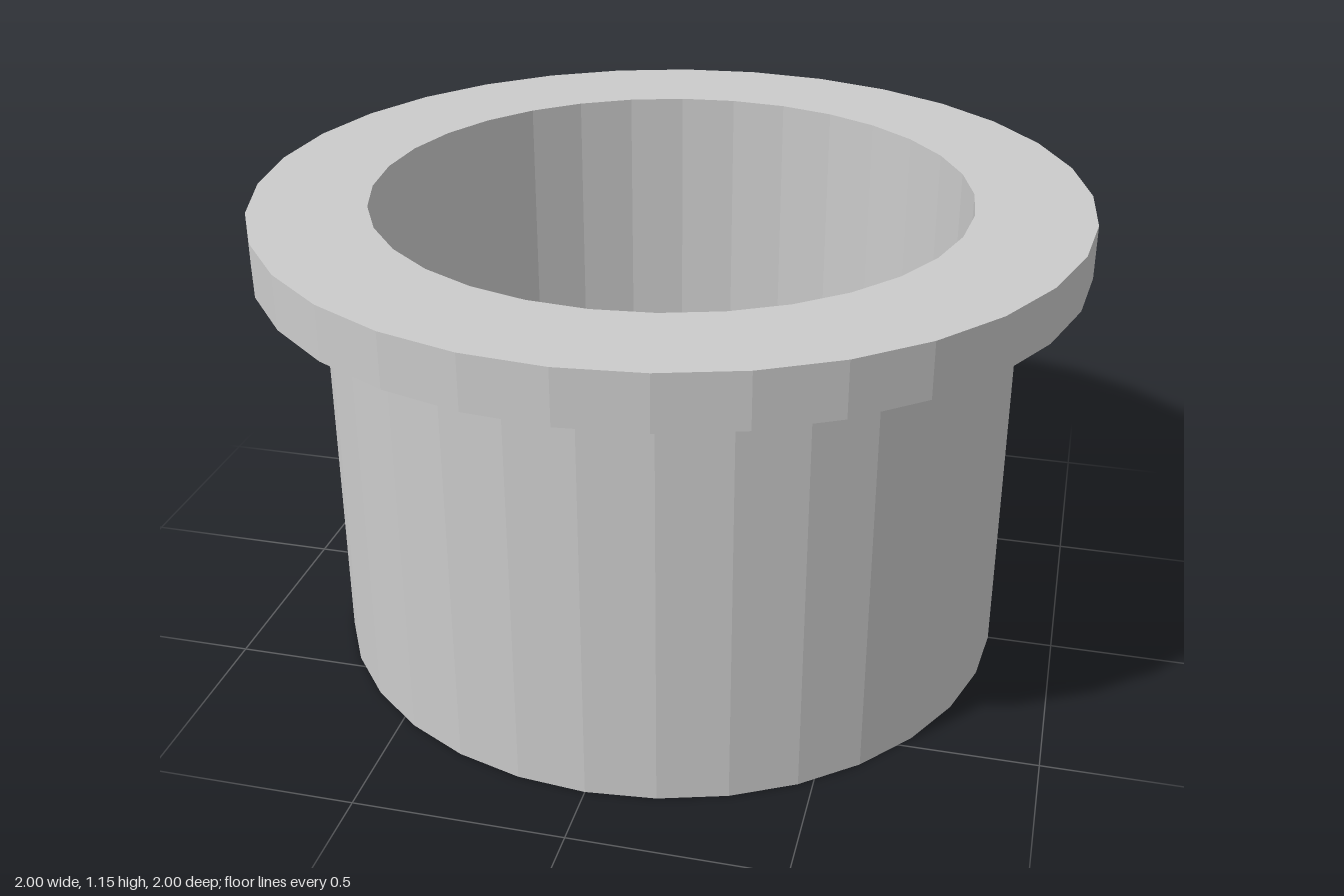
import * as THREE from 'three';

const SIDES = 32;
const BORE = 0.72, BODY = 0.84, RIM = 1.0;
const SHOULDER = 1.02, TOP = 1.15;

const material = new THREE.MeshStandardMaterial({ color: 0xcccccc, flatShading: true });

// Turned part from a [radius, height] profile
function turned(name, profile) {
  const points = profile.map(([r, y]) => new THREE.Vector2(r, y));
  const mesh = new THREE.Mesh(new THREE.LatheGeometry(points, SIDES), material);
  mesh.name = name;
  return mesh;
}

export function createModel() {
  const group = new THREE.Group();
  group.name = 'flangedBushing';

  // Tubular body: through bore, bottom ring and outer wall
  group.add(turned('sleeve', [[BORE, TOP], [BORE, 0], [BODY, 0], [BODY, SHOULDER]]));

  // Collar: underside, rim and flat top ring down to the bore edge
  group.add(turned('flange', [[BODY, SHOULDER], [RIM, SHOULDER], [RIM, TOP], [BORE, TOP]]));

  return group;
}
